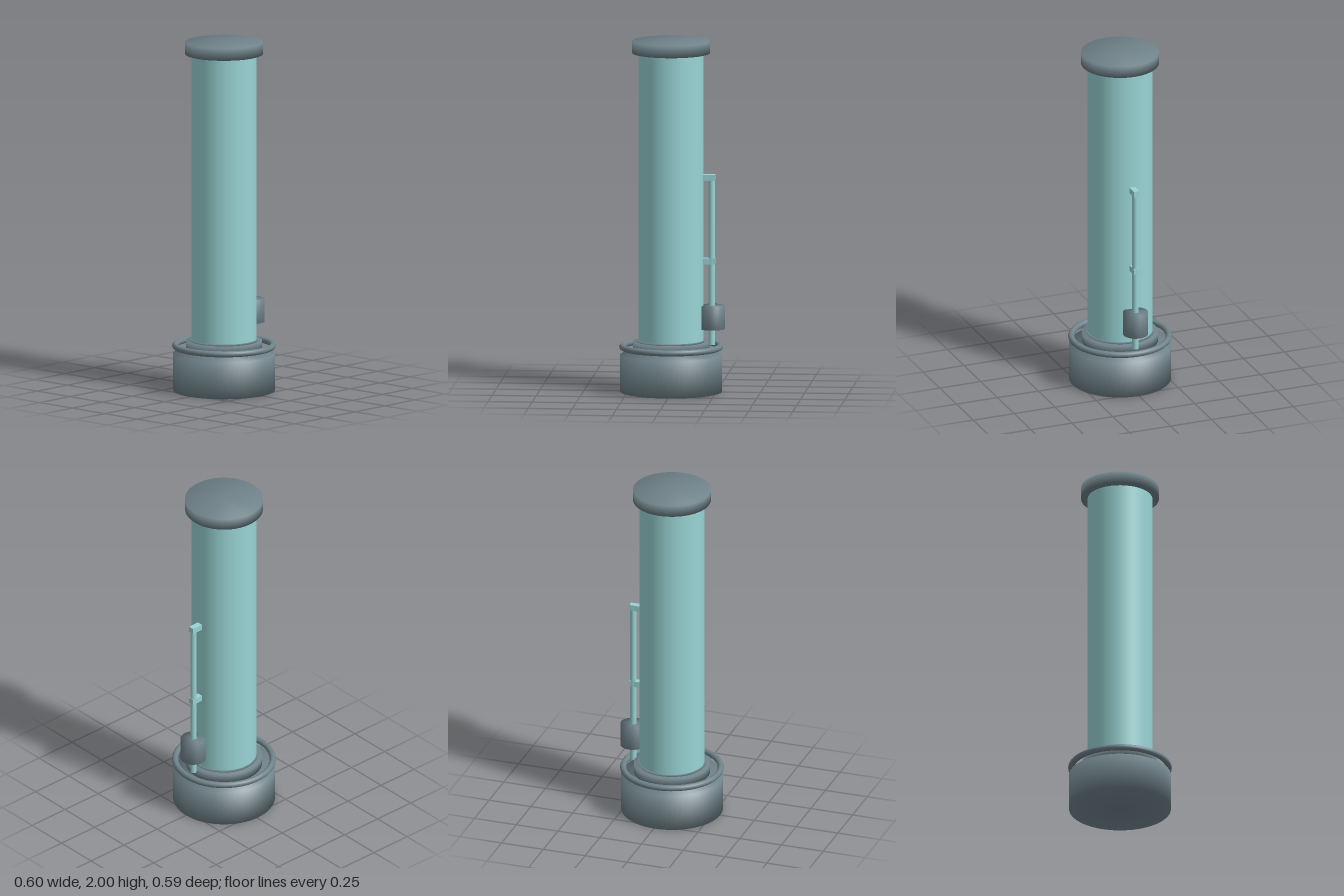
import * as THREE from 'three';
import { mergeVertices } from 'three/addons/utils/BufferGeometryUtils.js';

const AXIS_X = -0.007; // centre line of the column
const PIPE_X = 0.224; // centre line of the side pipe

// Cylinder between two heights, shaded softly over its rims
function softCylinder(radius, y0, y1, segments) {
  let geo = new THREE.CylinderGeometry(radius, radius, y1 - y0, segments);
  geo.deleteAttribute('normal');
  geo.deleteAttribute('uv');
  geo = mergeVertices(geo, 1e-5);
  geo.computeVertexNormals();
  return geo.translate(0, (y0 + y1) / 2, 0);
}

export function createModel() {
  const model = new THREE.Group();
  model.name = 'column';

  const steel = new THREE.MeshStandardMaterial({ color: 0x70838a });
  steel.name = 'slate grey';
  const teal = new THREE.MeshStandardMaterial({ color: 0x99d4d5 });
  teal.name = 'pale teal';

  const add = (name, geometry, material, x) => {
    const mesh = new THREE.Mesh(geometry, material);
    mesh.name = name;
    mesh.position.x = x;
    model.add(mesh);
    return mesh;
  };

  // Main column: base, collar, tube and top cap
  add('base', softCylinder(0.288, 0, 0.21, 64), steel, AXIS_X);
  add('collar', softCylinder(0.216, 0.232, 0.285, 64), steel, AXIS_X);
  add('collarLip', softCylinder(0.19, 0.28, 0.294, 64), steel, AXIS_X);
  const tube = new THREE.CylinderGeometry(0.183, 0.183, 1.67, 64).translate(0, 1.115, 0);
  add('tube', tube, teal, AXIS_X);
  add('topCap', softCylinder(0.22, 1.932, 2, 64), steel, AXIS_X);

  // Ring around the collar
  const ring = new THREE.TorusGeometry(0.2755, 0.0175, 20, 80).rotateX(Math.PI / 2);
  add('ring', ring, steel, AXIS_X).position.y = 0.256;

  // Side pipe with its canister
  const pipe = new THREE.CylinderGeometry(0.018, 0.018, 0.95, 24).translate(0, 0.745, 0);
  add('sidePipe', pipe, teal, PIPE_X);
  add('canister', softCylinder(0.071, 0.36, 0.494, 48), steel, 0.2265);

  // Brackets holding the pipe to the tube
  for (const [name, y] of [['upperBracket', 1.223], ['lowerBracket', 0.747]]) {
    const x0 = 0.16, x1 = 0.243;
    const bracket = new THREE.BoxGeometry(x1 - x0, 0.034, 0.034);
    add(name, bracket, teal, (x0 + x1) / 2).position.y = y;
  }

  return model;
}
